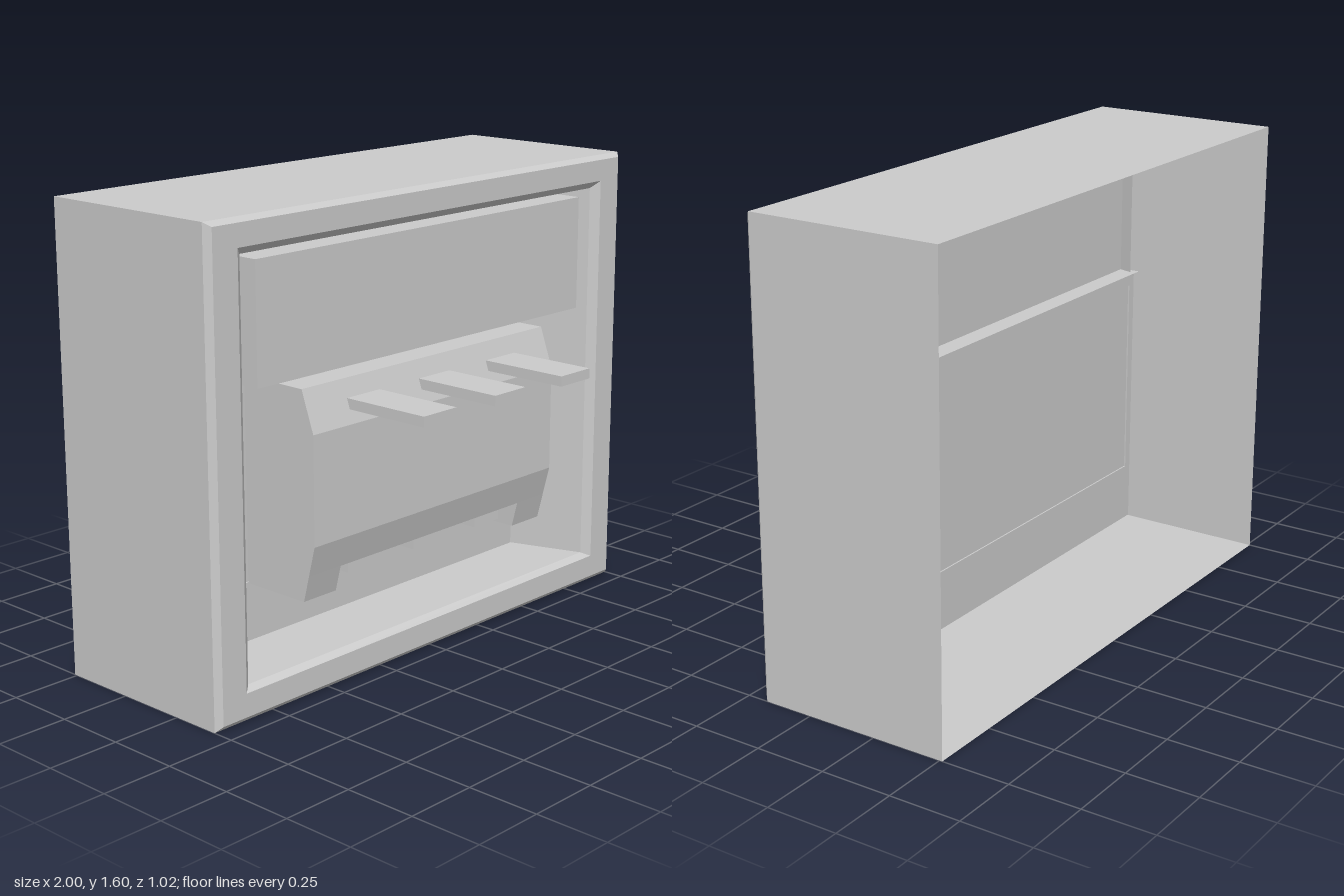
import * as THREE from 'three';

const material = new THREE.MeshStandardMaterial({ color: 0xcccccc, flatShading: true, side: THREE.DoubleSide });

function add(parent, name, geometry) {
  const mesh = new THREE.Mesh(geometry, material);
  mesh.name = name;
  parent.add(mesh);
  return mesh;
}

// Box given by its limits on each axis
function block(x0, x1, y0, y1, z0, z1) {
  return new THREE.BoxGeometry(x1 - x0, y1 - y0, z1 - z0)
    .translate((x0 + x1) / 2, (y0 + y1) / 2, (z0 + z1) / 2);
}

// Skin over rectangular rings { half width, bottom, top, z }
function loftRings(rings) {
  const corners = rings.map(([w, y0, y1, z]) => [[-w, y0, z], [w, y0, z], [w, y1, z], [-w, y1, z]]);
  const positions = [];
  for (let i = 0; i < corners.length - 1; i++) {
    for (let k = 0; k < 4; k++) {
      const n = (k + 1) % 4;
      const a = corners[i][k], b = corners[i][n], c = corners[i + 1][n], d = corners[i + 1][k];
      positions.push(...a, ...b, ...c, ...a, ...c, ...d);
    }
  }
  const geometry = new THREE.BufferGeometry();
  geometry.setAttribute('position', new THREE.Float32BufferAttribute(positions, 3));
  geometry.computeVertexNormals();
  return geometry;
}

// Side profile of [z, y] points swept from x0 to x1
function sweepX(points, x0, x1) {
  const shape = new THREE.Shape(points.map(([z, y]) => new THREE.Vector2(-z, y)));
  return new THREE.ExtrudeGeometry(shape, { depth: x1 - x0, bevelEnabled: false })
    .rotateY(Math.PI / 2).translate(x0, 0, 0);
}

function rectPoints(x0, x1, y0, y1) {
  return [[x0, y0], [x1, y0], [x1, y1], [x0, y1]].map(([x, y]) => new THREE.Vector2(x, y));
}

export function createModel() {
  const model = new THREE.Group();
  model.name = 'panelSocket';

  // Open-backed housing: outer walls, bevelled front rim, tapering opening
  add(model, 'housing', loftRings([
    [1, 0, 1.6, -0.51],
    [1, 0, 1.6, 0.175],
    [0.98, 0.02, 1.585, 0.195],
    [0.88, 0.1, 1.51, 0.195],
    [0.85, 0.115, 1.485, 0.17],
    [0.76, 0.115, 1.455, -0.1],
  ]));

  // Back plate with a window and a thin pane set into it
  const plate = new THREE.Shape(rectPoints(-0.76, 0.76, 0.115, 1.06));
  plate.holes.push(new THREE.Path(rectPoints(-0.73, 0.755, 0.32, 1.02)));
  add(model, 'backPlate', new THREE.ExtrudeGeometry(plate, { depth: 0.02, bevelEnabled: false })
    .translate(0, 0, -0.115));
  add(model, 'pane', block(-0.73, 0.755, 0.32, 1.02, -0.11, -0.1));

  // Header with a shallow hollow at its back
  const header = new THREE.Group();
  header.name = 'header';
  model.add(header);
  add(header, 'headerBody', block(-0.787, 0.787, 1.06, 1.46, -0.05, 0.17));
  add(header, 'headerSkirt', loftRings([[0.787, 1.06, 1.46, -0.12], [0.787, 1.06, 1.46, -0.05]]));

  // Connector body with sloped front, and a foot at each end
  const connector = new THREE.Group();
  connector.name = 'connector';
  model.add(connector);
  add(connector, 'connectorBody', sweepX(
    [[-0.1, 0.405], [0.183, 0.405], [0.21, 0.51], [0.21, 0.88], [0.16, 1.02], [-0.1, 1.02]], -0.59, 0.6));
  for (const [x0, x1] of [[-0.59, -0.445], [0.455, 0.6]]) {
    add(connector, 'foot', sweepX([[-0.1, 0.315], [0.16, 0.315], [0.183, 0.405], [-0.1, 0.405]], x0, x1));
  }

  // Three prongs at the front and three tabs underneath
  for (const i of [-1, 0, 1]) {
    const prongX = 0.008 + i * 0.341;
    add(connector, 'prong', block(prongX - 0.076, prongX + 0.076, 0.925, 0.96, 0.1, 0.51));
    const tabX = 0.007 + i * 0.318;
    add(connector, 'tab', block(tabX - 0.065, tabX + 0.065, 0.355, 0.42, 0, 0.15));
  }

  return model;
}
